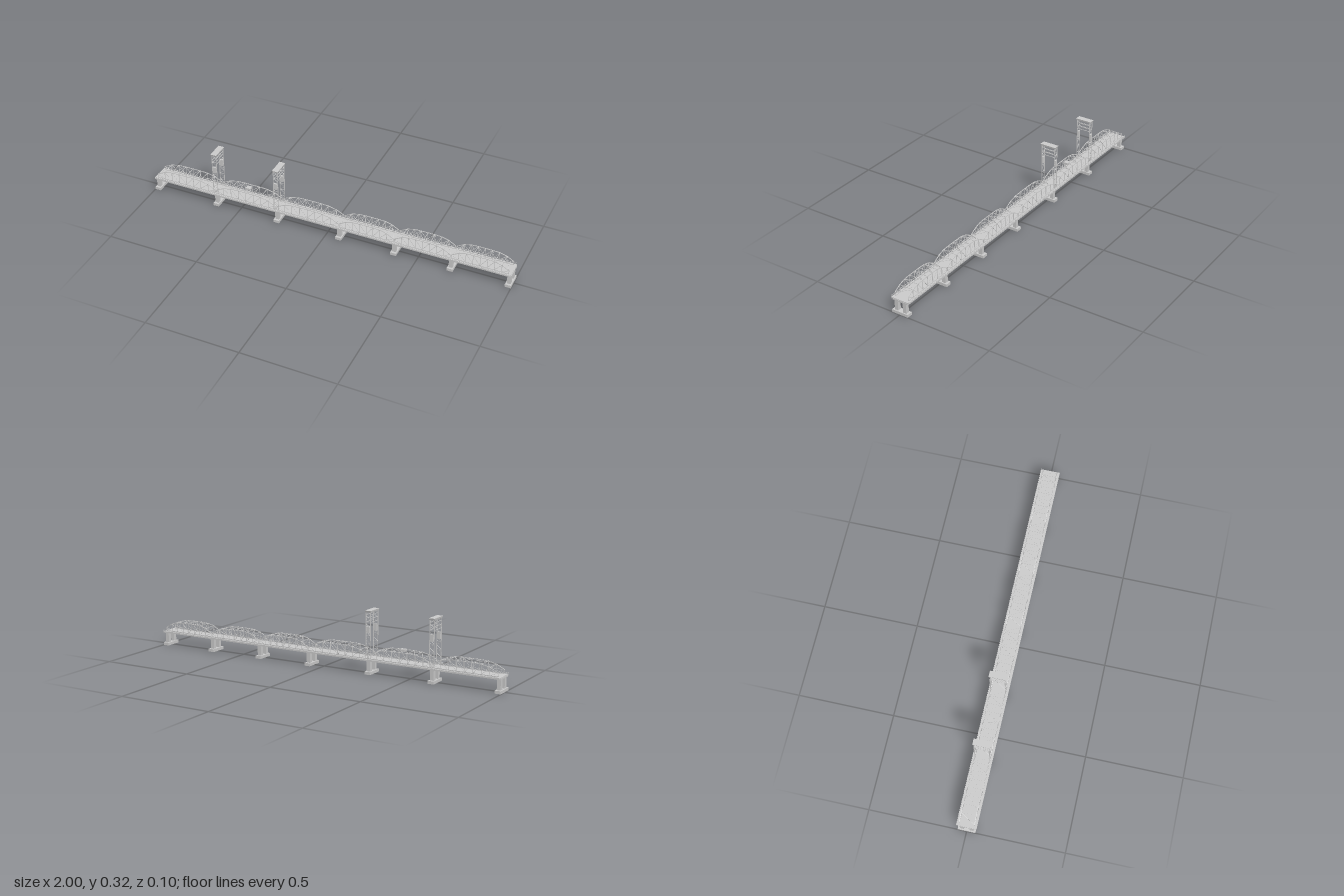
import * as THREE from 'three';
import { mergeGeometries } from 'three/addons/utils/BufferGeometryUtils.js';

const grey = new THREE.MeshStandardMaterial({ color: 0xcccccc, flatShading: true });
const PIERS = [-0.984, -0.631, -0.278, 0.075, 0.378, 0.681, 0.984];
const DECK = 0.079, SIDE = 0.038;
const V = (x, y, z) => new THREE.Vector3(x, y, z);

// Square bar between two points
function bar(a, b, t = 0.0022) {
  const d = b.clone().sub(a);
  const g = new THREE.BoxGeometry(t, t, d.length());
  const m = new THREE.Matrix4().lookAt(b, a, Math.abs(d.x) + Math.abs(d.z) < 1e-6 ? V(1, 0, 0) : V(0, 1, 0));
  return g.applyMatrix4(m.setPosition(a.clone().add(b).multiplyScalar(0.5)));
}

// Box given by its centre, base height and size
function box(x, y0, z, w, h, d) {
  return new THREE.BoxGeometry(w, h, d).translate(x, y0 + h / 2, z);
}

function part(name, geometries) {
  const mesh = new THREE.Mesh(mergeGeometries(geometries), grey);
  mesh.name = name;
  return mesh;
}

// Footing, two columns and a cap beam
function pier(x) {
  return part('pier', [
    box(x, 0, 0, 0.032, 0.015, 0.09),
    box(x, 0.015, 0.0235, 0.02, 0.054, 0.019),
    box(x, 0.015, -0.0235, 0.02, 0.054, 0.019),
    box(x, 0.068, 0, 0.026, 0.008, 0.086),
  ]);
}

// Pair of trusses with raised top chords, tied together overhead
function trussSpan(x0, x1) {
  const n = 8, bars = [];
  const heights = [0.1, 0.122, 0.132, 0.134, 0.134, 0.134, 0.132, 0.122, 0.1];
  const low = 0.081;
  const node = (i, y, s) => V(x0 + (x1 - x0) * i / n, y, s * SIDE);
  const top = (i, s) => node(i, heights[i], s);
  for (const s of [1, -1]) {
    bars.push(bar(node(0, low, s), node(n, low, s), 0.003));
    for (let i = 0; i <= n; i++) {
      bars.push(bar(node(i, low, s), top(i, s)));
      if (i === n) continue;
      bars.push(bar(top(i, s), top(i + 1, s), 0.003));
      // diagonals lean towards midspan
      bars.push(i < n / 2 ? bar(top(i, s), node(i + 1, low, s), 0.0016)
        : bar(node(i, low, s), top(i + 1, s), 0.0016));
    }
  }
  for (let i = 0; i < n; i++) {
    const s = i % 2 ? -1 : 1;
    if (i > 0) bars.push(bar(top(i, 1), top(i, -1), 0.002));
    bars.push(bar(top(i, s), top(i + 1, -s), 0.0014));
  }
  return part('trussSpan', bars);
}

// Lattice lifting tower with head beam and counterweights
function tower(x) {
  const g = new THREE.Group();
  g.name = 'liftTower';
  const half = 0.0125, y0 = DECK, y1 = 0.317, n = 12, bars = [];
  for (const s of [1, -1]) {
    const z = s * SIDE;
    for (const e of [-half, half]) bars.push(bar(V(x + e, y0, z), V(x + e, y1, z), 0.003));
    for (let i = 0; i < n; i++) {
      const a = y0 + (y1 - y0) * i / n, b = y0 + (y1 - y0) * (i + 1) / n;
      const e = i % 2 ? -half : half;
      bars.push(bar(V(x - e, a, z), V(x + e, b, z), 0.0016));
      if (i % 2) bars.push(bar(V(x - half, b, z), V(x + half, b, z), 0.0016));
    }
  }
  for (const y of [0.266, 0.285, 0.304])
    for (const e of [-half, half]) bars.push(bar(V(x + e, y, -SIDE), V(x + e, y, SIDE)));
  g.add(part('towerLattice', bars));

  // head beam, slightly narrower below
  const head = new THREE.BoxGeometry(0.032, 0.009, 0.09);
  const p = head.attributes.position;
  for (let i = 0; i < p.count; i++)
    if (p.getY(i) < 0) p.setXYZ(i, p.getX(i) * 0.9, p.getY(i), p.getZ(i) * 0.94);
  g.add(part('towerHead', [head.translate(x, 0.3205, 0)]));
  g.add(part('counterweights', [1, -1].map(s => box(x, 0.21, s * SIDE, 0.016, 0.036, 0.01))));
  return g;
}

// Posts and rails along both edges
function railings() {
  const bars = [], end = 0.994, n = 84;
  for (const s of [1, -1]) {
    const z = s * 0.051;
    for (const y of [0.0825, 0.0862]) bars.push(bar(V(-end, y, z), V(end, y, z), 0.001));
    for (let i = 0; i <= n; i++) {
      const x = -end + 2 * end * i / n;
      bars.push(bar(V(x, 0.077, z), V(x, 0.0862, z), 0.001));
    }
  }
  return part('railings', bars);
}

export function createModel() {
  const model = new THREE.Group();
  model.name = 'liftBridge';

  // roadway with edge beams
  model.add(part('deck', [
    box(0, 0.0755, 0, 1.99, 0.0035, 0.1),
    box(0, 0.071, 0.049, 1.99, 0.007, 0.003),
    box(0, 0.071, -0.049, 1.99, 0.007, 0.003),
  ]));
  model.add(railings());

  PIERS.forEach((x, i) => {
    model.add(pier(x));
    if (i > 0) model.add(trussSpan(PIERS[i - 1] + 0.003, x - 0.003));
  });
  for (const x of [PIERS[1], PIERS[2]]) model.add(tower(x));

  // operator's cabin on top of the lifting span
  const mid = (PIERS[1] + PIERS[2]) / 2;
  model.add(part('controlCabin', [
    box(mid, 0.132, 0, 0.024, 0.011, 0.021),
    box(mid, 0.143, 0, 0.027, 0.002, 0.024),
  ]));
  return model;
}
